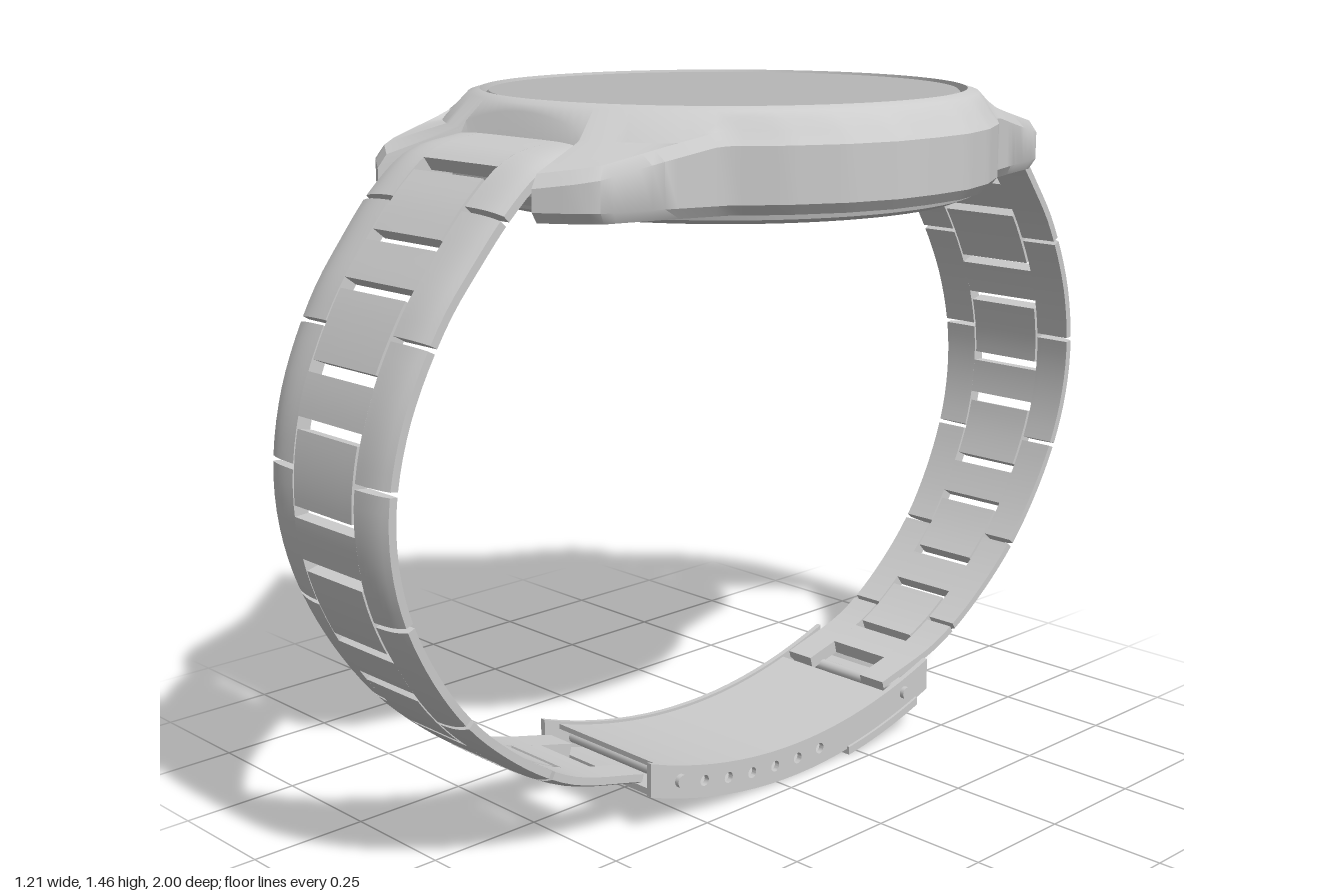
import * as THREE from 'three';
import { mergeGeometries, toCreasedNormals } from 'three/addons/utils/BufferGeometryUtils.js';

const CX = 0.042; // centre line of dial and strap
const metal = new THREE.MeshStandardMaterial({ color: 0xcccccc });
metal.name = 'brushed metal';
const glass = new THREE.MeshStandardMaterial({ color: 0xb6b6b6 });
glass.name = 'dial glass';

function mesh(name, geo, mat = metal) {
  const m = new THREE.Mesh(geo, mat);
  m.name = name;
  return m;
}

// Case outline (x, z) for z >= 0; mirrored for the other half
function caseOutline() {
  const half = [[0.6, 0], [0.595, 0.1], [0.565, 0.2], [0.51, 0.3], [0.44, 0.385], [0.4, 0.5],
    [0.365, 0.62], [0.335, 0.65], [0.27, 0.695], [0.222, 0.555], [-0.134, 0.555], [-0.18, 0.695],
    [-0.25, 0.65], [-0.275, 0.61], [-0.33, 0.44], [-0.37, 0.37], [-0.605, 0.115], [-0.525, 0.085]];
  const pts = [...half, ...half.slice(1).reverse().map(([x, z]) => [x, -z])];
  const out = [];
  pts.forEach(([x, z], i) => {
    const [x2, z2] = pts[(i + 1) % pts.length];
    const n = Math.max(1, Math.round(Math.hypot(x2 - x, z2 - z) / 0.025));
    for (let k = 0; k < n; k++) out.push([x + (x2 - x) * k / n, z + (z2 - z) * k / n]);
  });
  return out;
}

// Case: rings from the round bezel out to the outline and back under
function caseGeometry() {
  const outline = caseOutline(), pos = [], idx = [], n = outline.length, rings = 9;
  for (const [x, z] of outline) {
    const d = Math.hypot(x - CX, z), a = Math.atan2(z, x - CX);
    const h = 1.43 - 0.065 * THREE.MathUtils.clamp((Math.abs(z) - 0.4) / 0.3, 0, 1);
    const r3 = Math.min(0.565, d - 0.03);
    const profile = [[0.483, 1.44], [0.49, 1.47], [0.513, 1.463], [r3, 1.46 - (r3 - 0.515)],
      [d - 0.018, h], [d, h - 0.025], [d, 1.3], [d - 0.015, 1.28], [0.46, 1.28]];
    for (const [r, y] of profile) pos.push(CX + r * Math.cos(a), y, r * Math.sin(a));
  }
  for (let i = 0; i < n; i++) {
    for (let r = 0; r < rings - 1; r++) {
      const a = i * rings + r, b = a + 1, c = ((i + 1) % n) * rings + r, d = c + 1;
      idx.push(a, c, b, b, c, d);
    }
  }
  const g = new THREE.BufferGeometry();
  g.setAttribute('position', new THREE.Float32BufferAttribute(pos, 3));
  g.setIndex(idx);
  return toCreasedNormals(g, 0.55);
}

// Strap centre line (z, y) from the lugs down to the clasp
const path = new THREE.CatmullRomCurve3([[0.54, 1.39], [0.64, 1.37], [0.72, 1.31], [0.8, 1.22],
  [0.875, 1.12], [0.955, 0.95], [0.983, 0.78], [0.955, 0.61], [0.86, 0.425], [0.75, 0.3],
  [0.57, 0.175], [0.365, 0.115]].map(([z, y]) => new THREE.Vector3(0, y, z)));
path.arcLengthDivisions = 400;
const LEN = path.getLength();
const halfWidth = (y) => 0.143 + 0.06 * THREE.MathUtils.clamp((y - 0.1) / 1.2, 0, 1);

// Box bent along the strap; u0..u1 are fractions of the half width
function bentBox(u0, u1, s0, s1, thick) {
  const g = new THREE.BoxGeometry(1, 1, 1, 6, 1, 8), p = g.attributes.position;
  for (let i = 0; i < p.count; i++) {
    const u = u0 + (u1 - u0) * (p.getX(i) + 0.5);
    const t = THREE.MathUtils.clamp((s0 + (s1 - s0) * (p.getZ(i) + 0.5)) / LEN, 0, 1);
    const c = path.getPointAt(t), d = path.getTangentAt(t);
    const top = p.getY(i) > 0;
    const o = p.getY(i) * thick - (top ? 0.014 * u ** 6 : 0); // rounded outer edges
    p.setXYZ(i, u * halfWidth(c.y), c.y + d.z * o, c.z - d.y * o);
  }
  g.computeVertexNormals();
  return g;
}

// H-shaped link: two side arms and a bridge
const linkGeometry = (s0, s1, b0, b1) => mergeGeometries([
  bentBox(-1, -0.53, s0, s1, 0.03), bentBox(0.53, 1, s0, s1, 0.03), bentBox(-0.54, 0.54, b0, b1, 0.03)]);

function strap(name) {
  const g = new THREE.Group();
  g.name = name;
  const end = 0.23, count = 6, pitch = (LEN - end) / count;
  g.add(mesh('endLink', linkGeometry(0, end - 0.005, 0, 0.13)));
  for (let i = 0; i < count; i++) {
    const s = end + i * pitch, mid = s + pitch / 2;
    g.add(mesh('outerLink', linkGeometry(s + 0.005, s + pitch - 0.005, mid - 0.04, mid + 0.04)));
    g.add(mesh('centreLink', bentBox(-0.5, 0.5, s - 0.068, s + 0.068, 0.032)));
  }
  g.position.x = CX;
  return g;
}

// Clasp: curved underside height at z
const claspY = (z) => 0.01 + 0.43 * (z + 0.06) ** 2;

// Curved band (z, y) between two heights above the underside, extruded over x
function claspBand(z0, z1, lo, hi, x0, x1, holes = []) {
  const s = new THREE.Shape(), n = 20;
  for (let i = 0; i <= n; i++) {
    const z = z0 + (z1 - z0) * i / n;
    if (i) s.lineTo(z, claspY(z) + lo); else s.moveTo(z, claspY(z) + lo);
  }
  for (let i = n; i >= 0; i--) {
    const z = z0 + (z1 - z0) * i / n;
    s.lineTo(z, claspY(z) + hi);
  }
  s.closePath();
  for (const z of holes) {
    const h = new THREE.Path();
    h.absarc(z, claspY(z) + 0.037, 0.012, 0, Math.PI * 2, true);
    s.holes.push(h);
  }
  const g = new THREE.ExtrudeGeometry(s, { depth: x1 - x0, bevelEnabled: false, curveSegments: 8 });
  g.rotateY(-Math.PI / 2);
  g.translate(x1, 0, 0);
  return toCreasedNormals(g, 0.4);
}

function clasp() {
  const g = new THREE.Group(), w = 0.17;
  g.name = 'clasp';
  const holes = [0.22, 0.15, 0.08, 0.01, -0.06, -0.13];
  for (const side of [-1, 1]) {
    const x = side * (w - 0.006);
    g.add(mesh('claspFlange', claspBand(-0.49, 0.37, 0, 0.072, x - 0.006, x + 0.006, holes)));
  }
  g.add(mesh('claspOuterPlate', claspBand(-0.48, 0.36, 0, 0.014, -w, w)));
  g.add(mesh('claspInnerPlate', claspBand(-0.36, 0.33, 0.055, 0.066, -w + 0.01, w - 0.01)));
  g.add(mesh('claspCover', claspBand(-0.45, -0.22, -0.012, 0.006, -w - 0.006, w + 0.006)));
  for (const z of [0.29, -0.41]) {
    const pin = mesh('claspPin', new THREE.CylinderGeometry(0.014, 0.014, 2 * w + 0.02, 14));
    pin.rotation.z = Math.PI / 2;
    pin.position.set(0, claspY(z) + 0.04, z);
    g.add(pin);
  }
  g.position.x = CX;
  return g;
}

function lathe(name, pts, mat) {
  const g = new THREE.LatheGeometry(pts.map(([x, y]) => new THREE.Vector2(x, y)), 80);
  const m = mesh(name, toCreasedNormals(g, 0.4), mat);
  m.position.x = CX;
  return m;
}

// Knurled crown between the guards
function crown() {
  const s = new THREE.Shape(), teeth = 24;
  for (let i = 0; i < teeth * 2; i++) {
    const a = i / teeth * Math.PI, r = i % 2 ? 0.066 : 0.074;
    if (i) s.lineTo(r * Math.cos(a), r * Math.sin(a)); else s.moveTo(r, 0);
  }
  const g = new THREE.ExtrudeGeometry(s, { depth: 0.055, bevelSize: 0.006, bevelThickness: 0.006, bevelSegments: 1, bevelOffset: -0.006 });
  g.rotateY(-Math.PI / 2);
  const grp = new THREE.Group();
  grp.name = 'crown';
  const knob = mesh('crownKnob', g);
  knob.position.set(-0.535, 1.36, 0.005);
  const stem = mesh('crownStem', new THREE.CylinderGeometry(0.035, 0.035, 0.06, 20));
  stem.rotation.z = Math.PI / 2;
  stem.position.set(-0.525, 1.36, 0.005);
  grp.add(knob, stem);
  return grp;
}

export function createModel() {
  const g = new THREE.Group();
  g.name = 'wristwatch';
  g.add(mesh('case', caseGeometry()));
  g.add(lathe('dial', [[0.477, 1.435], [0.477, 1.46], [0.472, 1.466], [0, 1.466]], glass));
  g.add(lathe('bezelSeat', [[0.49, 1.44], [0, 1.44]], metal));
  g.add(lathe('caseBack', [[0, 1.236], [0.28, 1.238], [0.3, 1.245], [0.49, 1.258], [0.515, 1.268], [0.52, 1.285]], metal));
  g.add(crown());
  const back = strap('backStrap');
  back.rotation.y = Math.PI;
  g.add(strap('frontStrap'), back, clasp());
  return g;
}
